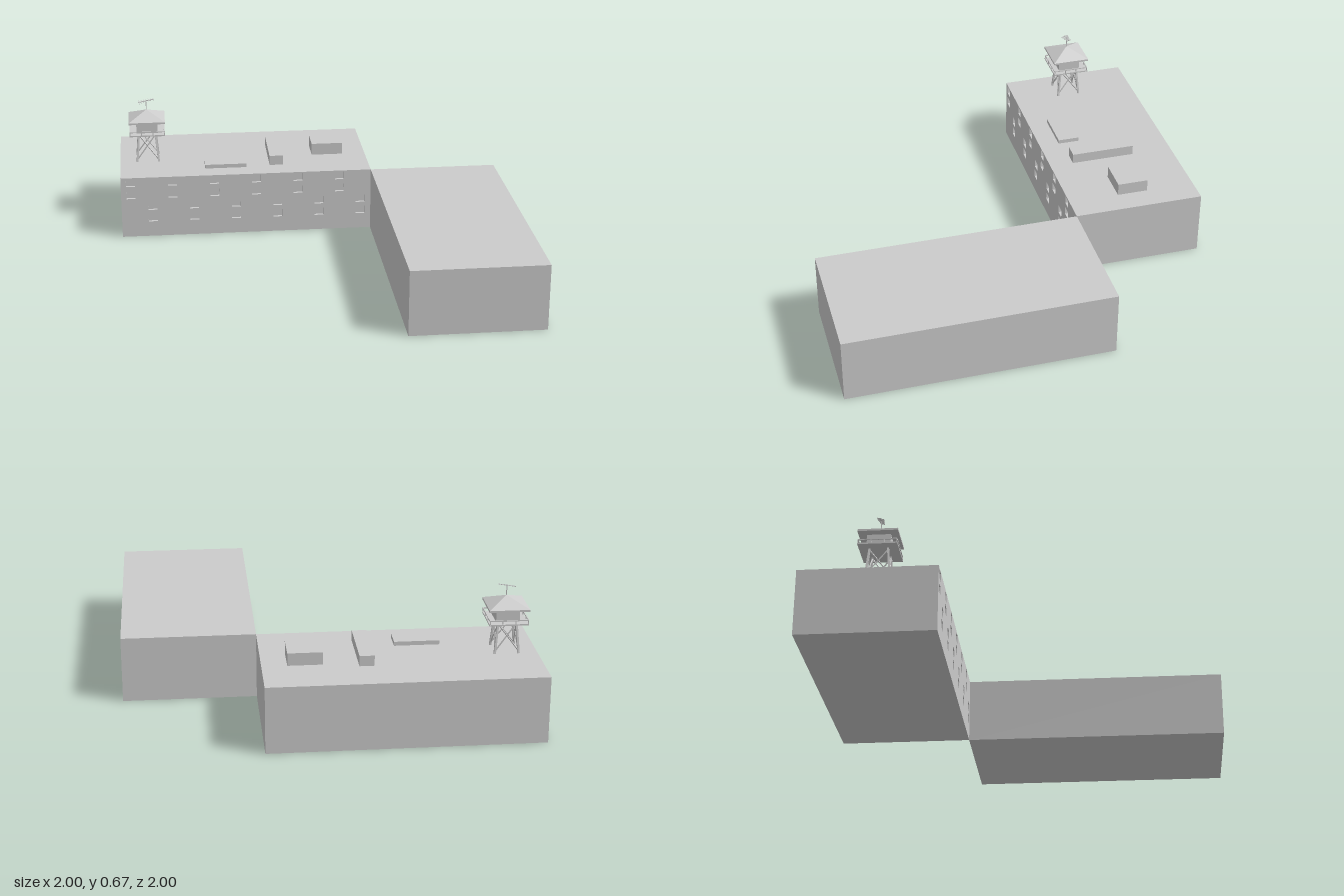
import * as THREE from 'three';

const material = new THREE.MeshStandardMaterial({ color: 0xcccccc, flatShading: true });

function add(parent, name, geometry, x = 0, y = 0, z = 0) {
  const mesh = new THREE.Mesh(geometry, material);
  mesh.name = name;
  mesh.position.set(x, y, z);
  parent.add(mesh);
  return mesh;
}

// Box given by its minimum and maximum corners
function block(parent, name, [x0, y0, z0], [x1, y1, z1]) {
  return add(parent, name, new THREE.BoxGeometry(x1 - x0, y1 - y0, z1 - z0),
    (x0 + x1) / 2, (y0 + y1) / 2, (z0 + z1) / 2);
}

// Square bar between two points
function bar(parent, name, a, b, thickness) {
  const from = new THREE.Vector3(...a), to = new THREE.Vector3(...b);
  const mesh = add(parent, name, new THREE.BoxGeometry(thickness, thickness, from.distanceTo(to)));
  mesh.position.copy(from).add(to).multiplyScalar(0.5);
  mesh.quaternion.setFromUnitVectors(new THREE.Vector3(0, 0, 1), to.sub(from).normalize());
  return mesh;
}

function rect(path, x0, y0, x1, y1) {
  path.moveTo(x0, y0);
  path.lineTo(x1, y0);
  path.lineTo(x1, y1);
  path.lineTo(x0, y1);
  path.closePath();
  return path;
}

const H = 1 / 3; // roof height of both buildings

// Building with staggered pairs of recessed windows in its front wall
function rearBuilding() {
  const group = new THREE.Group();
  group.name = 'rearBuilding';
  const recess = 0.015;
  block(group, 'buildingCore', [-1, 0, -1], [H, H, -H - recess]);
  const wall = rect(new THREE.Shape(), -1, 0, H, H);
  for (const [x0, rows] of [[-0.948, [0.305, 0.236]], [-0.835, [0.17, 0.104]]])
    for (let i = 0; i < 6; i++)
      for (const y of rows) {
        const x = x0 + i * 0.2225;
        wall.holes.push(rect(new THREE.Path(), x - 0.024, y - 0.021, x + 0.024, y + 0.021));
      }
  add(group, 'windowWall', new THREE.ExtrudeGeometry(wall, { depth: recess, bevelEnabled: false }),
    0, 0, -H - recess);

  // Rooftop units
  block(group, 'lowRoofUnit', [-0.547, H, -0.548], [-0.325, 0.354, -0.438]);
  block(group, 'roofDuct', [-0.2, H, -0.787], [-0.128, 0.385, -0.457]);
  block(group, 'tallRoofUnit', [0.042, H, -0.75], [0.21, 0.396, -0.593]);
  return group;
}

// Aerial: boom with cross elements on a mast
function antenna() {
  const group = new THREE.Group();
  group.name = 'antenna';
  bar(group, 'mast', [0, 0.605, 0], [0, 0.665, 0], 0.004);
  const head = new THREE.Group();
  head.name = 'antennaHead';
  head.position.y = 0.661;
  head.rotation.set(0.25, 0.08, 0.17);
  bar(head, 'boom', [-0.042, 0, 0], [0.042, 0, 0], 0.004);
  for (let i = 0; i < 7; i++) {
    const x = -0.038 + i * 0.0127, half = 0.018 - i * 0.0012;
    bar(head, 'element', [x, 0, -half], [x, 0, half], 0.003);
  }
  group.add(head);
  return group;
}

function watchTower() {
  const group = new THREE.Group();
  group.name = 'watchTower';
  group.position.set(-0.85, 0, -0.636);
  const foot = 0.058, top = 0.044, deckY = 0.492, rail = 0.092, railY = 0.514;

  // Four identical sides: leg, crossed braces and railing
  for (let i = 0; i < 4; i++) {
    const side = new THREE.Group();
    side.name = 'towerSide';
    side.rotation.y = i * Math.PI / 2;
    bar(side, 'leg', [-foot, H, foot], [-top, deckY, top], 0.01);
    for (const s of [-1, 1])
      bar(side, 'brace', [s * foot, 0.345, foot - 0.001], [-s * top, deckY - 0.01, top], 0.005);
    bar(side, 'handrail', [-rail, railY, rail], [rail, railY, rail], 0.005);
    for (const x of [-rail, -rail / 3, rail / 3])
      bar(side, 'railPost', [x, deckY, rail], [x, railY, rail], 0.004);
    group.add(side);
  }

  block(group, 'deck', [-0.095, 0.489, -0.095], [0.095, 0.496, 0.095]);
  block(group, 'cabin', [-0.057, 0.496, -0.057], [0.057, 0.56, 0.057]);

  // Pyramid roof on a thin eave slab
  block(group, 'eave', [-0.097, 0.558, -0.097], [0.097, 0.568, 0.097]);
  const roof = new THREE.ConeGeometry(0.097 * Math.SQRT2, 0.044, 4);
  roof.rotateY(Math.PI / 4);
  add(group, 'pyramidRoof', roof, 0, 0.59, 0);

  group.add(antenna());
  return group;
}

export function createModel() {
  const model = new THREE.Group();
  model.name = 'buildingsWithWatchTower';
  model.add(rearBuilding());
  block(model, 'frontBuilding', [H, 0, -H], [1, H, 1]);
  model.add(watchTower());
  return model;
}
